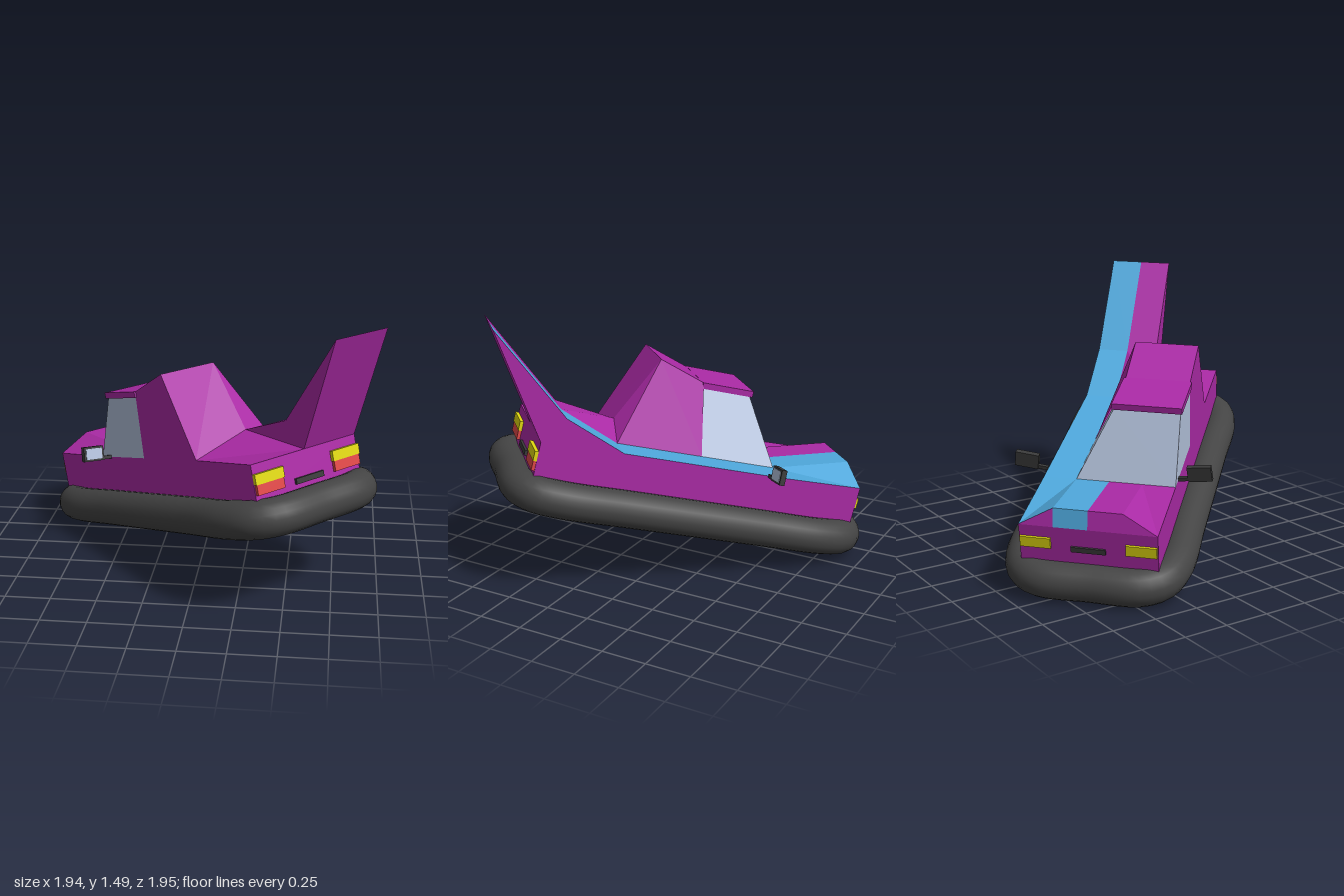
import * as THREE from 'three';

const PURPLE = 0xaa2aa5, BLUE = 0x4fa8dc, GLASS = 0xb4c2dc, RUBBER = 0x444444;
const YELLOW = 0xe0d810, RED = 0xe04848, DARK = 0x3a3a3a;

// Flat panels: each polygon is a list of [across, up, back] corners, cut into a fan
function panels(name, color, polygons) {
  const pos = [];
  for (const p of polygons)
    for (let i = 1; i < p.length - 1; i++) pos.push(...p[0], ...p[i], ...p[i + 1]);
  const geo = new THREE.BufferGeometry();
  geo.setAttribute('position', new THREE.Float32BufferAttribute(pos, 3));
  geo.computeVertexNormals();
  const mat = new THREE.MeshStandardMaterial({ color, flatShading: true, side: THREE.DoubleSide });
  const mesh = new THREE.Mesh(geo, mat);
  mesh.name = name;
  return mesh;
}

function box(name, color, size, at) {
  const mat = new THREE.MeshStandardMaterial({ color, flatShading: true });
  const mesh = new THREE.Mesh(new THREE.BoxGeometry(...size), mat);
  mesh.position.set(...at);
  mesh.name = name;
  return mesh;
}

// Body outline constants
const W = 0.36, M = 0.18, FLOOR = -0.03;
const NOSE = [0.22, -0.95], RIDGE = [0.316, -0.92], SCREEN = [0.21, -0.47];
const AFT = [0.21, 0.47], KNEE = [0.35, 0.82], TIP = [0.75, 1.3], TAIL = [0.2, 0.93];
const at = (d, p) => [d, ...p];
const strip = (d0, d1, p, q) => [at(d0, p), at(d1, p), at(d1, q), at(d0, q)];

function hull() {
  const g = new THREE.Group();
  g.name = 'hull';
  const sides = [-W, W].map(d => [[d, FLOOR, NOSE[1]], at(d, NOSE), at(d, SCREEN), at(d, AFT), at(d, TAIL), [d, FLOOR, TAIL[1]]]);
  g.add(panels('hullShell', PURPLE, [
    ...sides,
    strip(-W, W, [FLOOR, NOSE[1]], NOSE),
    strip(-W, W, [FLOOR, TAIL[1]], TAIL),
    strip(-W, W, [FLOOR, NOSE[1]], [FLOOR, TAIL[1]]),
  ]));
  // Bonnet: raised in the middle, falling away to both sides
  const shoulder = s => [at(s * W, NOSE), at(s * M, RIDGE), at(s * M, SCREEN), at(s * W, SCREEN)];
  const cheek = s => [at(s * W, NOSE), at(s * M, RIDGE), at(s * M, NOSE)];
  g.add(panels('bonnetRight', PURPLE, [
    shoulder(-1), strip(-M, 0, RIDGE, SCREEN), strip(-M, 0, NOSE, RIDGE), cheek(-1), cheek(1),
  ]));
  g.add(panels('bonnetLeft', BLUE, [shoulder(1), strip(0, M, RIDGE, SCREEN), strip(0, M, NOSE, RIDGE)]));
  g.add(panels('rearDeck', PURPLE, [[at(-W, AFT), [0, 0.3, 0.47], at(0, TAIL), at(-W, TAIL)]]));
  return g;
}

function tailFin() {
  const g = new THREE.Group();
  g.name = 'tailFin';
  g.add(panels('stripe', BLUE, [
    strip(M, W, SCREEN, AFT), strip(M, W, AFT, KNEE), strip(M, W, KNEE, TIP),
  ]));
  g.add(panels('finBody', PURPLE, [
    [[0, 0.3, 0.47], at(M, AFT), at(M, KNEE), at(0, KNEE)],
    strip(0, M, KNEE, TIP),
    strip(0, W, TAIL, TIP),
    [at(W, KNEE), at(W, TIP), at(W, TAIL), at(W, AFT)],
    [at(0, KNEE), at(0, TIP), at(0, TAIL), [0, 0.3, 0.47]],
  ]));
  return g;
}

function cockpit() {
  const g = new THREE.Group();
  g.name = 'cockpit';
  const front = [0.59, -0.29], mid = [0.59, 0], peak = [0.68, 0.28];
  const header = [0.56, -0.29], post = [0.21, -0.03], postTop = [0.56, 0];
  g.add(panels('cockpitShell', PURPLE, [
    strip(-W, 0, front, mid), strip(-W, 0, mid, peak),
    [at(-W, post), at(-W, mid), at(-W, peak), at(-W, AFT)],
    [at(M, post), at(M, AFT), at(0, peak)],
    [at(M, post), at(0, peak), at(0, mid)],
    [at(-W, AFT), [0, 0.3, 0.47], at(0, peak), at(-W, peak)],
    [[0, 0.3, 0.47], at(M, AFT), at(0, peak)],
  ]));
  g.add(panels('windows', GLASS, [
    strip(-W, 0, SCREEN, header),
    [at(0, SCREEN), at(M, SCREEN), at(0, header)],
    [at(M, SCREEN), at(M, post), at(0, postTop), at(0, header)],
    [at(-W, SCREEN), at(-W, post), at(-W, postTop), at(-W, header)],
  ]));
  g.add(box('roofVisor', PURPLE, [0.38, 0.035, 0.31], [-0.18, 0.575, -0.15]));
  return g;
}

// Inflated ring around the hull: one quarter of the path, mirrored four ways
function skirt() {
  const quarter = [[0.4, 0], [0.4, 0.4], [0.4, 0.75], [0.355, 0.9], [0.26, 0.965]];
  const back = [...quarter.slice(1), [0, 0.97]];
  const half = [[0.4, 0], ...back, ...quarter.slice(1).reverse().map(([d, a]) => [-d, a])];
  const loop = [...half, ...half.map(([d, a]) => [-d, -a])];
  const curve = new THREE.CatmullRomCurve3(loop.map(([d, a]) => new THREE.Vector3(d, 0, a)), true);
  const mat = new THREE.MeshStandardMaterial({ color: RUBBER });
  const mesh = new THREE.Mesh(new THREE.TubeGeometry(curve, 120, 0.102, 20, true), mat);
  mesh.position.y = -0.085;
  mesh.name = 'inflatedSkirt';
  return mesh;
}

export function createModel() {
  const craft = new THREE.Group();
  craft.name = 'craft';
  craft.add(hull(), tailFin(), cockpit(), skirt());

  for (const s of [-1, 1]) {
    // Lamps
    craft.add(box('headlight', YELLOW, [0.16, 0.06, 0.02], [s * 0.275, 0.125, -0.953]));
    craft.add(box('rearIndicator', YELLOW, [0.19, 0.055, 0.03], [s * 0.265, 0.122, 0.935]));
    craft.add(box('brakeLight', RED, [0.18, 0.055, 0.025], [s * 0.265, 0.067, 0.935]));
    // Wing mirror
    const mirror = new THREE.Group();
    mirror.name = 'wingMirror';
    mirror.add(box('mirrorHousing', DARK, [0.13, 0.085, 0.03], [0, 0, 0]));
    mirror.add(box('mirrorGlass', GLASS, [0.105, 0.062, 0.006], [0, 0, 0.015]));
    mirror.add(box('mirrorArm', DARK, [0.08, 0.02, 0.02], [-s * 0.08, -0.03, 0]));
    mirror.position.set(s * 0.475, 0.255, -0.385);
    mirror.rotation.z = s * 0.12;
    craft.add(mirror);
  }
  craft.add(box('frontPlate', DARK, [0.18, 0.03, 0.015], [0, 0.1, -0.953]));
  craft.add(box('rearPlate', DARK, [0.19, 0.03, 0.02], [0, 0.05, 0.935]));

  // Nose down and turned across the frame
  craft.rotation.set(-0.253, THREE.MathUtils.degToRad(44), 0.02, 'YXZ');
  const model = new THREE.Group();
  model.name = 'hoverVehicle';
  model.add(craft);
  craft.updateMatrixWorld(true);
  craft.position.y = -new THREE.Box3().setFromObject(craft, true).min.y;
  return model;
}
